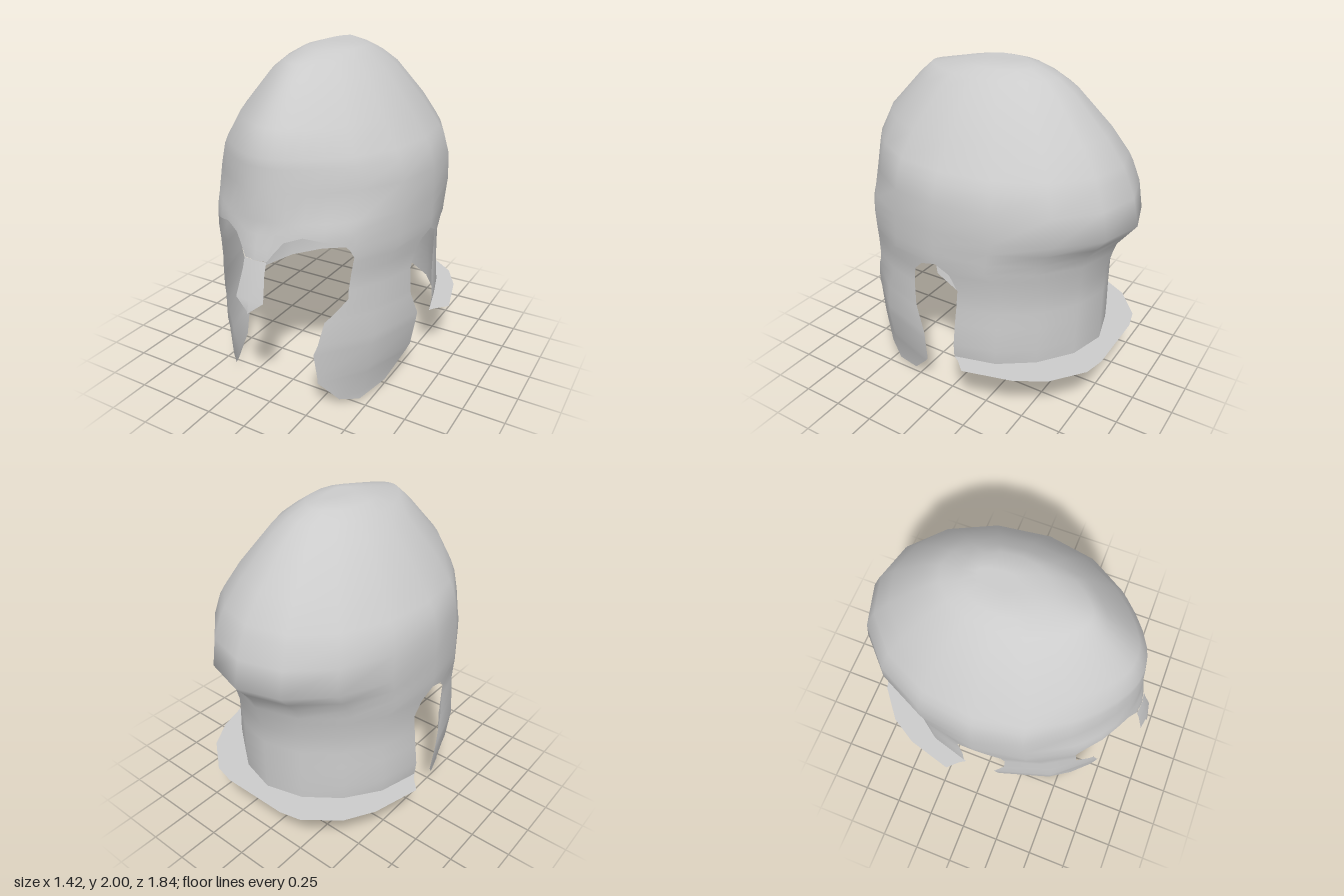
import * as THREE from 'three';

// Rounded cross-sections, bottom to top: [y, front z, back z, half width]
const SECTIONS = [
  [0, 0.79, -0.75, 0.548], [0.05, 0.795, -0.75, 0.55], [0.24, 0.8, -0.75, 0.605],
  [0.365, 0.81, -0.75, 0.625], [0.46, 0.815, -0.75, 0.637], [0.6, 0.81, -0.75, 0.625],
  [0.81, 0.8, -0.75, 0.62], [0.97, 0.805, -0.79, 0.643], [1.03, 0.8, -0.81, 0.646],
  [1.17, 0.79, -0.92, 0.646], [1.33, 0.775, -0.885, 0.642], [1.45, 0.76, -0.835, 0.612],
  [1.5, 0.755, -0.81, 0.58], [1.64, 0.69, -0.705, 0.49], [1.85, 0.49, -0.5, 0.325],
  [1.92, 0.41, -0.4, 0.235], [1.965, 0.2, -0.29, 0.17], [1.998, 0.02, -0.2, 0.05],
  [2.0, -0.03, -0.03, 0],
];
const BROW = 1.17, CENTRE = -0.03;
const MATERIAL = new THREE.MeshStandardMaterial({ color: 0xcccccc, side: THREE.DoubleSide });

// Piecewise-linear lookup in rows sorted by their first entry
function lookup(rows, k, col) {
  let i = 1;
  while (i < rows.length - 1 && rows[i][0] < k) i++;
  const [a, b] = [rows[i - 1], rows[i]];
  const t = THREE.MathUtils.clamp((k - a[0]) / (b[0] - a[0]), 0, 1);
  return a[col] + (b[col] - a[col]) * t;
}

const reachAt = (y, front) => (front ? lookup(SECTIONS, y, 1) - CENTRE : CENTRE - lookup(SECTIONS, y, 2));

// Point of the shell at angle phi (0 = front, + toward +x) and height y
function surface(phi, y) {
  const c = Math.cos(phi), front = c > 0;
  // The dome narrows to a keel in front; the neck is pinched at its corners
  const pinch = front ? 0.07 * THREE.MathUtils.smoothstep(y, 1.08, 1.28)
    : 0.04 * (1 - THREE.MathUtils.smoothstep(y, 1.03, 1.25));
  let reach = reachAt(y, front) * (1 - pinch * Math.sin(2 * phi) ** 2);
  // The brow swells forward into the nose guard
  reach += 0.17 * Math.max(0, 1.14 - y) * Math.max(0, 1 - Math.abs(phi) / 0.4);
  return new THREE.Vector3(Math.sin(phi) * lookup(SECTIONS, y, 3), y, CENTRE + c * reach);
}

function surfaceNormal(phi, y) {
  if (y > 1.99) return new THREE.Vector3(0, 1, 0);
  const e = 0.03;
  const up = surface(phi, Math.min(2, y + e)).sub(surface(phi, Math.max(0, y - e)));
  return surface(phi + e, y).sub(surface(phi - e, y)).cross(up).normalize();
}

// Angle of the shell point at height y and depth z
const angleAt = (y, z) => Math.acos(THREE.MathUtils.clamp((z - CENTRE) / reachAt(y, z > CENTRE), -1, 1));

// Mesh from rows of points, top to bottom, each running toward +phi
function sheet(name, rows, normals) {
  const n = rows[0].length, index = [];
  for (let i = 0; i < rows.length - 1; i++) {
    for (let j = 0; j < n - 1; j++) {
      const a = i * n + j, c = a + n;
      index.push(a, c, a + 1, a + 1, c, c + 1);
    }
  }
  const g = new THREE.BufferGeometry().setFromPoints(rows.flat());
  g.setIndex(index);
  if (normals) g.setAttribute('normal', new THREE.Float32BufferAttribute(normals.flat().flatMap((v) => v.toArray()), 3));
  else g.computeVertexNormals();
  const mesh = new THREE.Mesh(g, MATERIAL);
  mesh.name = name;
  return mesh;
}

// Sheet lying on the shell, from rows of [phi, y]
const shellSheet = (name, rows) => sheet(name,
  rows.map((r) => r.map(([p, y]) => surface(p, y))),
  rows.map((r) => r.map(([p, y]) => surfaceNormal(p, y))));

// Mirrored pair of shell sheets; edges are [y, start phi, end phi]
function pair(group, name, edges, cols) {
  for (const side of [1, -1]) {
    const rows = edges.map(([y, p0, p1]) => {
      const row = [];
      for (let j = 0; j <= cols; j++) row.push([side * (p0 + (p1 - p0) * j / cols), y]);
      return side > 0 ? row : row.reverse();
    });
    group.add(shellSheet((side > 0 ? 'left' : 'right') + name, rows));
  }
}

export function createModel() {
  const group = new THREE.Group();

  // Bowl, with its lower rim cut into two brow arches
  const cheekStart = angleAt(0.97, 0.565), neckStart = angleAt(0.97, -0.01);
  const rim = [[0, 0.96], [0.109, 0.96], [0.16, 1.01], [0.235, 1.07], [0.38, 1.1], [0.54, 1.075],
    [0.689, 1.05], [0.74, 1.015], [cheekStart, 0.97], [Math.PI, 0.97]];
  const half = rim.slice(1, -1).map((r) => r[0]);
  half.push((cheekStart + neckStart) / 2);
  for (let i = 0; i <= 4; i++) half.push(neckStart + (Math.PI - neckStart) * i / 4);
  const angles = [...half.map((p) => -p).reverse(), 0, ...half];
  const domeRows = SECTIONS.filter((s) => s[0] >= BROW).reverse().map((s) => angles.map((p) => [p, s[0]]));
  const rimRows = [0.35, 0.7, 1].map((t) =>
    angles.map((p) => [p, BROW + (lookup(rim, Math.abs(p), 1) - BROW) * t]));
  group.add(shellSheet('bowl', [...domeRows, ...rimRows]));

  // Cheek guards: [y, front z, back z]
  const cheek = [[0.97, 0.565, -0.01], [0.94, 0.567, 0.09], [0.88, 0.57, 0.15], [0.77, 0.577, 0.17],
    [0.72, 0.58, 0.168], [0.63, 0.655, 0.165], [0.6, 0.68, 0.157], [0.46, 0.71, 0.1], [0.4, 0.72, 0.102],
    [0.24, 0.695, 0.11], [0.2, 0.69, 0.14], [0.05, 0.58, 0.275], [0.005, 0.465, 0.455]];
  pair(group, 'CheekGuard', cheek.map(([y, f, b]) => [y, angleAt(y, f), angleAt(y, b)]), 2);

  // Neck guard: [y, front edge z]
  const neck = [[0.97, -0.01], [0.92, -0.1], [0.82, -0.14], [0.7, -0.13], [0.6, -0.12], [0.46, -0.115], [0.365, -0.11]];
  pair(group, 'NeckGuard', neck.map(([y, z]) => [y, angleAt(y, z), Math.PI]), 4);

  // Flat flange around the foot of the neck guard
  const outer = [[0.645, -0.15], [0.71, -0.22], [0.63, -0.51], [0.53, -0.68], [0.34, -0.83], [0.21, -0.86]];
  const outline = [...outer, ...outer.map(([x, z]) => [-x, z]).reverse()].map(([x, z]) => new THREE.Vector2(x, -z));
  const start = angleAt(0.365, -0.11);
  for (let i = 0; i <= 8; i++) {
    const p = surface(-start - (2 * Math.PI - 2 * start) * i / 8, 0.365);
    outline.push(new THREE.Vector2(p.x, -p.z));
  }
  const flange = new THREE.Mesh(new THREE.ShapeGeometry(new THREE.Shape(outline)).rotateX(-Math.PI / 2), MATERIAL);
  flange.position.y = 0.365;
  flange.name = 'neckFlange';
  group.add(flange);

  // Nose guard: [y, half width, z]
  const nose = [[0.96, 0.07, 0.836], [0.9, 0.07, 0.857], [0.75, 0.088, 0.903], [0.68, 0.002, 0.92]];
  group.add(sheet('noseGuard', nose.map(([y, w, z]) =>
    [-1, 0, 1].map((s) => new THREE.Vector3(s * w, y, z - 0.01 * Math.abs(s))))));

  return group;
}
